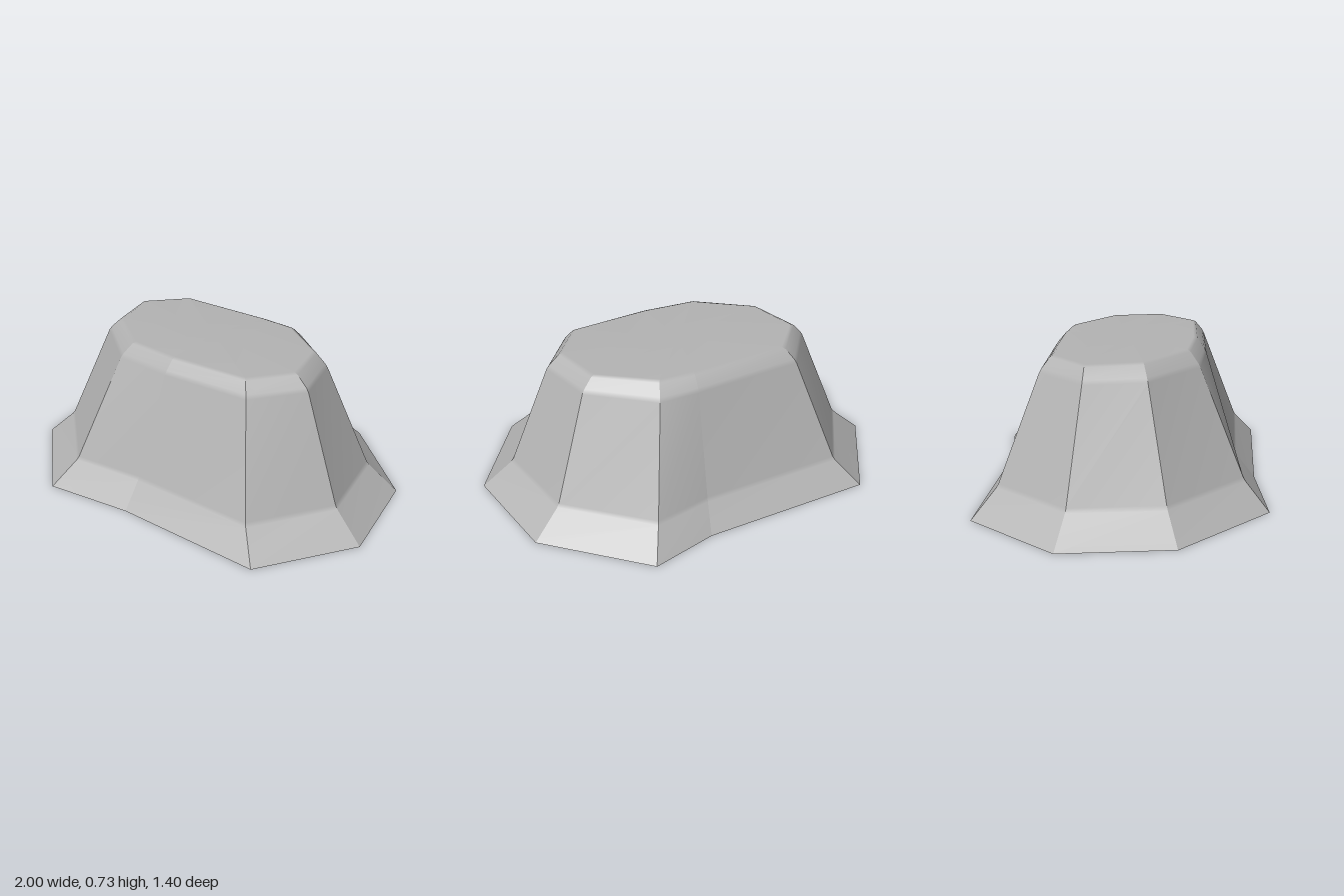
import * as THREE from 'three';

// Ten-sided irregular outlines [x, z], listed clockwise as seen from above
const levels = [
  { y: 0, p: [[-1, -.28], [-.68, -.705], [.19, -.645], [.52, -.695], [.94, -.26], [1, .275], [.675, .70], [-.075, .655], [-.525, .69], [-.94, .255]] },
  { y: .135, p: [[-.85, -.24], [-.58, -.59], [.15, -.54], [.44, -.57], [.79, -.215], [.845, .23], [.575, .59], [-.07, .55], [-.445, .57], [-.80, .205]] },
  { y: .66, p: [[-.635, -.18], [-.44, -.395], [.11, -.38], [.305, -.36], [.58, -.115], [.635, .17], [.44, .39], [-.01, .39], [-.31, .35], [-.585, .11]] },
  { y: .725, p: [[-.575, -.175], [-.40, -.345], [.10, -.325], [.275, -.30], [.52, -.10], [.565, .16], [.405, .34], [0, .34], [-.27, .30], [-.52, .09]] },
];
const SIDES = 10;

// Vertical profile at one corner, with each bend rounded by a narrow step
function profile(i) {
  const pts = levels.map(l => new THREE.Vector3(l.p[i][0], l.y, l.p[i][1]));
  const top = new THREE.Vector3(0, levels[3].y, 0);
  pts.push(top);
  const out = [pts[0]];
  for (let k = 1; k < 4; k++) {
    for (const next of [pts[k - 1], pts[k + 1]]) {
      const d = next.clone().sub(pts[k]).setLength(.012);
      out.push(pts[k].clone().add(d));
    }
  }
  out.push(top);
  return out;
}

// One face from base to top centre; smooth vertically, sharp at its sides
function panel(a, b) {
  const n = a.length, index = [];
  for (let k = 0; k < n - 1; k++) {
    index.push(k, k + 1, n + k);
    if (k < n - 2) index.push(n + k, k + 1, n + k + 1);
  }
  const g = new THREE.BufferGeometry().setFromPoints([...a, ...b]);
  g.setIndex(index);
  g.computeVertexNormals();
  return g;
}

export function createModel() {
  const group = new THREE.Group();
  group.name = 'steppedMound';
  const stone = new THREE.MeshStandardMaterial({ color: 0xb4b4b4 });
  stone.name = 'stone grey';

  // Flared sides, bevelled rim and flat top
  const sides = new THREE.Group();
  sides.name = 'sidesAndTop';
  const profiles = Array.from({ length: SIDES }, (_, i) => profile(i));
  profiles.forEach((p, i) => {
    const mesh = new THREE.Mesh(panel(p, profiles[(i + 1) % SIDES]), stone);
    mesh.name = 'panel' + (i + 1);
    sides.add(mesh);
  });
  group.add(sides);

  // Flat underside
  const outline = new THREE.Shape(levels[0].p.map(([x, z]) => new THREE.Vector2(x, z)));
  const base = new THREE.Mesh(new THREE.ShapeGeometry(outline).rotateX(Math.PI / 2), stone);
  base.name = 'underside';
  group.add(base);
  return group;
}
